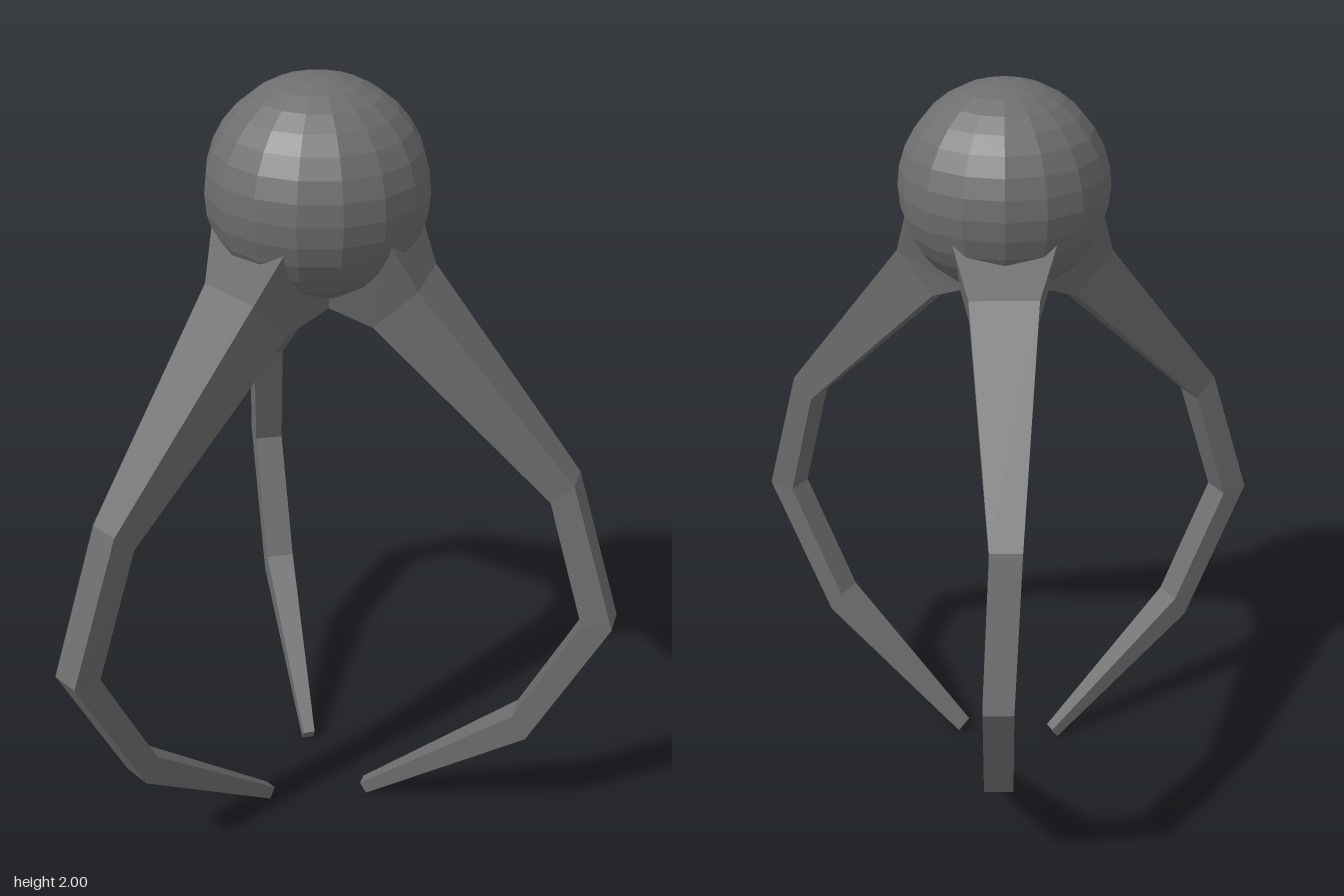
import * as THREE from 'three';

const material = new THREE.MeshStandardMaterial({ color: 0x6e6e6e, flatShading: true });

// Leg sections: [outer radius, outer y, inner radius, inner y, sideways shift, outer half width, inner half width]
const SECTIONS = [
  [0.215, 1.66, 0.05, 1.488, 0, 0.125, 0.115], // root on the sphere
  [0.27, 1.54, 0.165, 1.435, 0.002, 0.086, 0.086], // shoulder
  [0.657, 1.067, 0.603, 1.012, 0, 0.04, 0.04], // upper bend
  [0.78, 0.69, 0.705, 0.685, 0.019, 0.038, 0.038], // knee
  [0.588, 0.307, 0.55, 0.37, 0.019, 0.038, 0.038], // lower bend
  [0.16, 0.0, 0.143, 0.03, 0.018, 0.016, 0.016], // tip
];

// Four-sided tapering limb reaching towards -z, closed at both ends
function legGeometry() {
  const positions = [];
  const index = [];
  for (const [ro, yo, ri, yi, shift, wo, wi] of SECTIONS) {
    positions.push(shift - wo, yo, -ro, shift + wo, yo, -ro);
    positions.push(shift + wi, yi, -ri, shift - wi, yi, -ri);
  }
  const quad = (a, b, c, d) => index.push(a, b, c, a, c, d);
  const last = (SECTIONS.length - 1) * 4;
  for (let i = 0; i < last; i += 4) {
    for (let j = 0; j < 4; j++) {
      const k = (j + 1) % 4;
      quad(i + j, i + k, i + 4 + k, i + 4 + j);
    }
  }
  quad(0, 3, 2, 1);
  quad(last, last + 1, last + 2, last + 3);
  const geometry = new THREE.BufferGeometry();
  geometry.setAttribute('position', new THREE.Float32BufferAttribute(positions, 3));
  geometry.setIndex(index);
  geometry.computeVertexNormals();
  return geometry;
}

export function createModel() {
  const model = new THREE.Group();
  model.name = 'tripod';
  model.position.set(0.008, 0, 0.17);

  // Faceted ball on top
  const ball = new THREE.Mesh(new THREE.SphereGeometry(0.265, 16, 16), material);
  ball.name = 'ball';
  ball.position.y = 1.735;
  model.add(ball);

  // Three bent legs around the ball
  const geometry = legGeometry();
  ['backLeg', 'frontLeftLeg', 'frontRightLeg'].forEach((name, i) => {
    const leg = new THREE.Mesh(geometry, material);
    leg.name = name;
    leg.rotation.y = (-i * Math.PI * 2) / 3;
    model.add(leg);
  });

  const root = new THREE.Group();
  root.add(model);
  return root;
}
